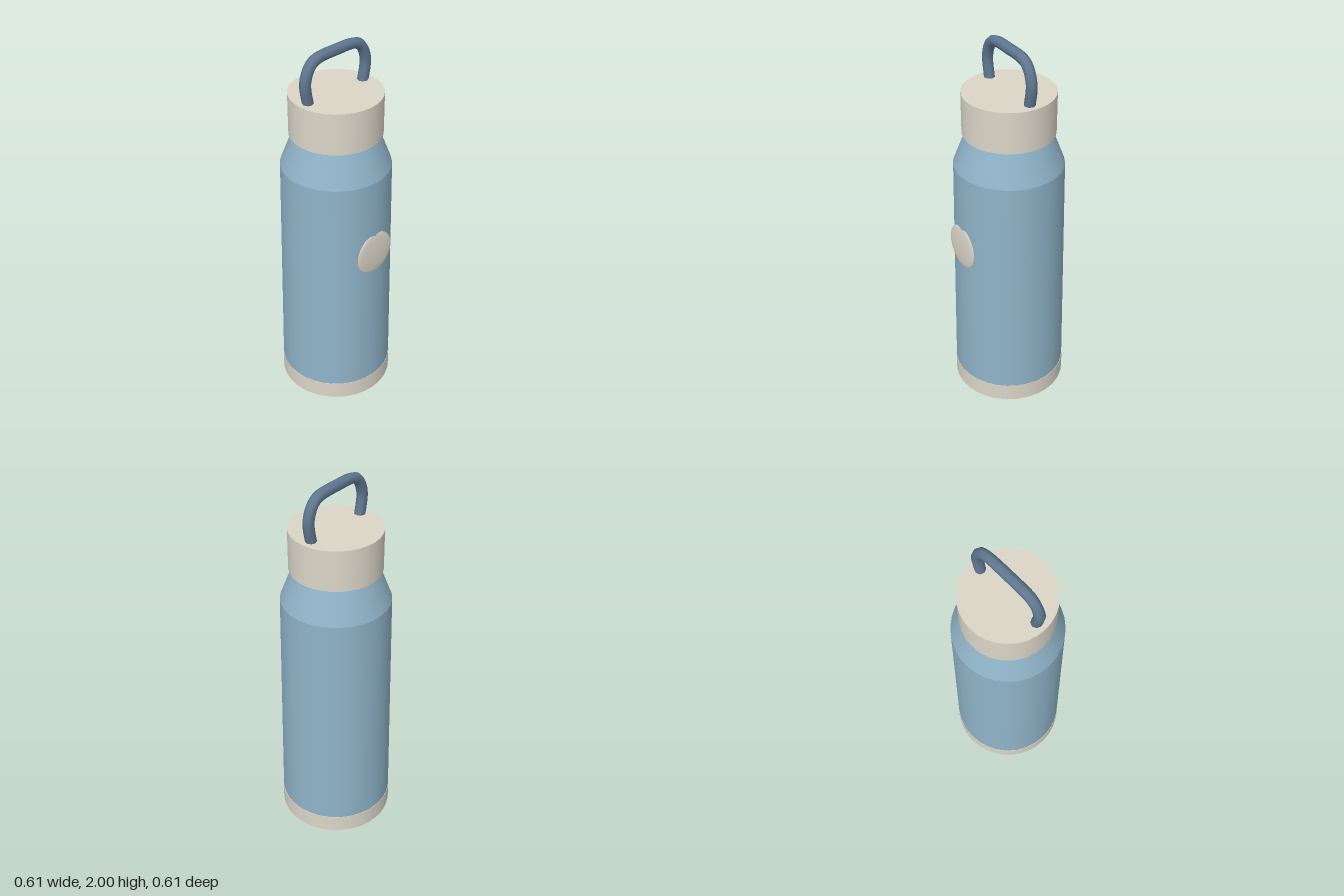
import * as THREE from 'three';

const SIDES = 32;

export function createModel() {
  const group = new THREE.Group();
  const mat = (name, color) => {
    const m = new THREE.MeshStandardMaterial({ color });
    m.name = name;
    return m;
  };
  const blue = mat('bodyBlue', 0x8fb3c7);
  const cream = mat('creamTrim', 0xdcd6c8);
  const slate = mat('slateHandle', 0x5f7890);

  const add = (name, geometry, material) => {
    const mesh = new THREE.Mesh(geometry, material);
    mesh.name = name;
    group.add(mesh);
    return mesh;
  };
  // Round section standing between two heights
  const section = (name, rBottom, rTop, y0, y1, material, open = false) => {
    const g = new THREE.CylinderGeometry(rTop, rBottom, y1 - y0, SIDES, 1, open);
    return add(name, g.translate(0, (y0 + y1) / 2, 0), material);
  };

  // Bottle, from the ground up
  section('baseBand', 0.303, 0.303, 0, 0.1, cream);
  section('body', 0.301, 0.283, 0.1, 1.36, blue, true);
  section('shoulder', 0.283, 0.214, 1.36, 1.54, blue, true);
  section('lid', 0.236, 0.236, 1.535, 1.755, cream);

  // Lens-shaped badge, sunk into the front and leaning with the taper
  const badge = add('badge', new THREE.SphereGeometry(0.12, 24, 16), cream);
  badge.scale.set(1, 0.985, 0.1);
  badge.position.set(0, 0.938, 0.2837);
  badge.rotation.x = -0.0135;

  // Carrying loop
  const half = [[0.18, 1.735], [0.197, 1.87], [0.15, 1.955]];
  const points = [
    ...half.map(([x, y]) => new THREE.Vector3(-x, y, 0)),
    new THREE.Vector3(0, 1.972, 0),
    ...half.slice().reverse().map(([x, y]) => new THREE.Vector3(x, y, 0)),
  ];
  const loop = new THREE.CatmullRomCurve3(points);
  add('handle', new THREE.TubeGeometry(loop, 40, 0.028, 8), slate);

  return group;
}
